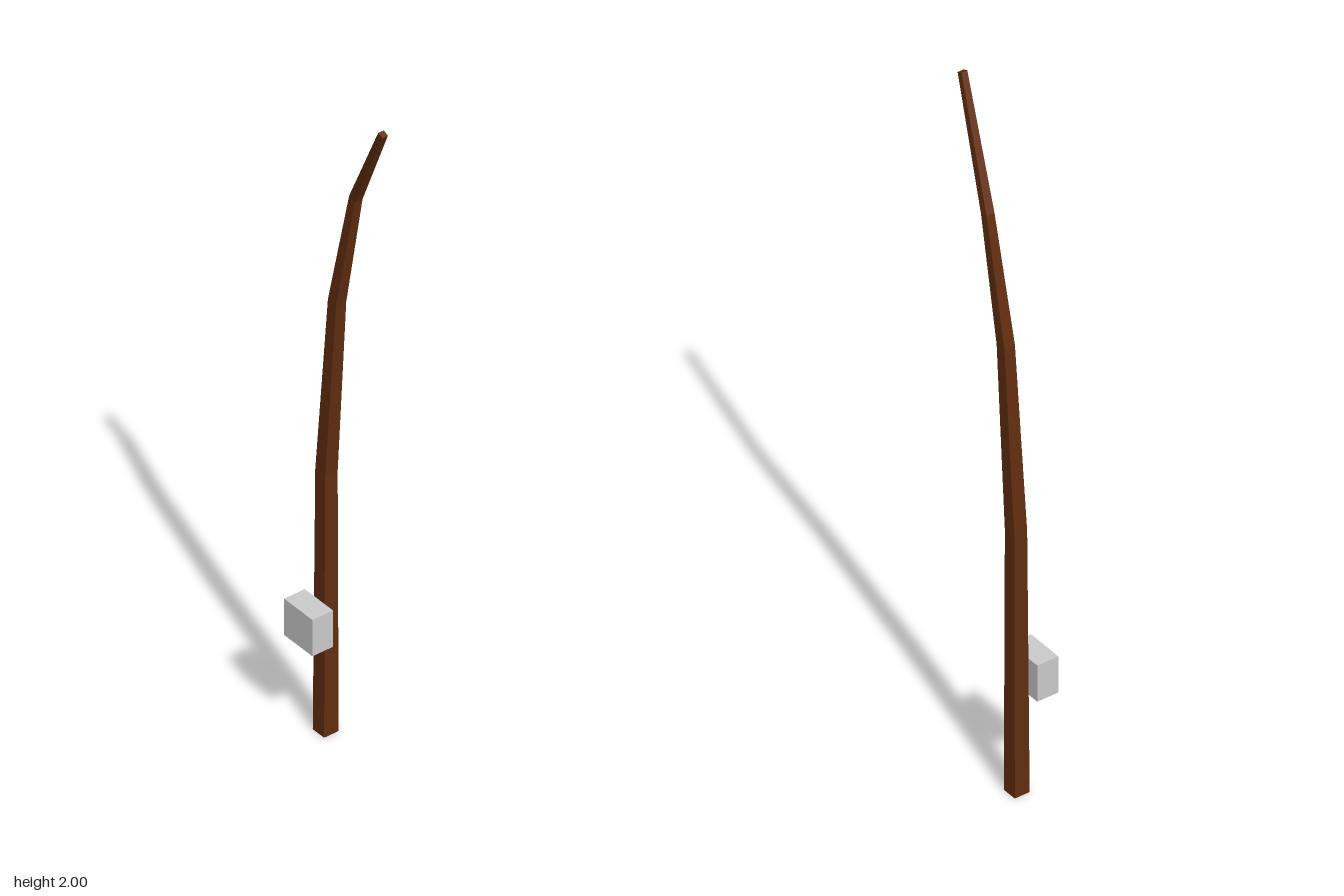
import * as THREE from 'three';

// Square-section bent pole: rings of [x, y, z, half width, forward tilt]
const RINGS = [
  [0.03, 0, -0.121, 0.0225, 0],
  [0.03, 0.79, -0.118, 0.0195, 0.04],
  [0.03, 1.33, -0.076, 0.016, 0.15],
  [0.03, 1.685, -0.002, 0.012, 0.34],
  [-0.0175, 1.996, 0.166, 0.0088, 0.45],
];
const CORNERS = [[-1, 1], [1, 1], [1, -1], [-1, -1]];

function poleGeometry() {
  const positions = [];
  const index = [];
  for (const [x, y, z, h, tilt] of RINGS) {
    for (const [cx, cz] of CORNERS) {
      positions.push(x + cx * h, y - cz * h * Math.sin(tilt), z + cz * h * Math.cos(tilt));
    }
  }
  for (let r = 0; r < RINGS.length - 1; r++) {
    for (let i = 0; i < 4; i++) {
      const a = r * 4 + i;
      const b = r * 4 + (i + 1) % 4;
      index.push(a, b, b + 4, a, b + 4, a + 4);
    }
  }
  // End caps
  const t = (RINGS.length - 1) * 4;
  index.push(0, 2, 1, 0, 3, 2, t, t + 1, t + 2, t, t + 2, t + 3);
  const geometry = new THREE.BufferGeometry();
  geometry.setAttribute('position', new THREE.Float32BufferAttribute(positions, 3));
  geometry.setIndex(index);
  const flat = geometry.toNonIndexed();
  flat.computeVertexNormals();
  return flat;
}

export function createModel() {
  const group = new THREE.Group();

  // Tapering pole that leans forward at the top
  const pole = new THREE.Mesh(
    poleGeometry(),
    new THREE.MeshStandardMaterial({ color: 0x622e10, flatShading: true })
  );
  pole.name = 'pole';
  group.add(pole);

  // Box fixed to the side of the pole
  const box = new THREE.Mesh(
    new THREE.BoxGeometry(0.064, 0.11, 0.112),
    new THREE.MeshStandardMaterial({ color: 0xcccccc })
  );
  box.name = 'sideBox';
  box.position.set(-0.023, 0.35, -0.121);
  group.add(box);

  return group;
}
